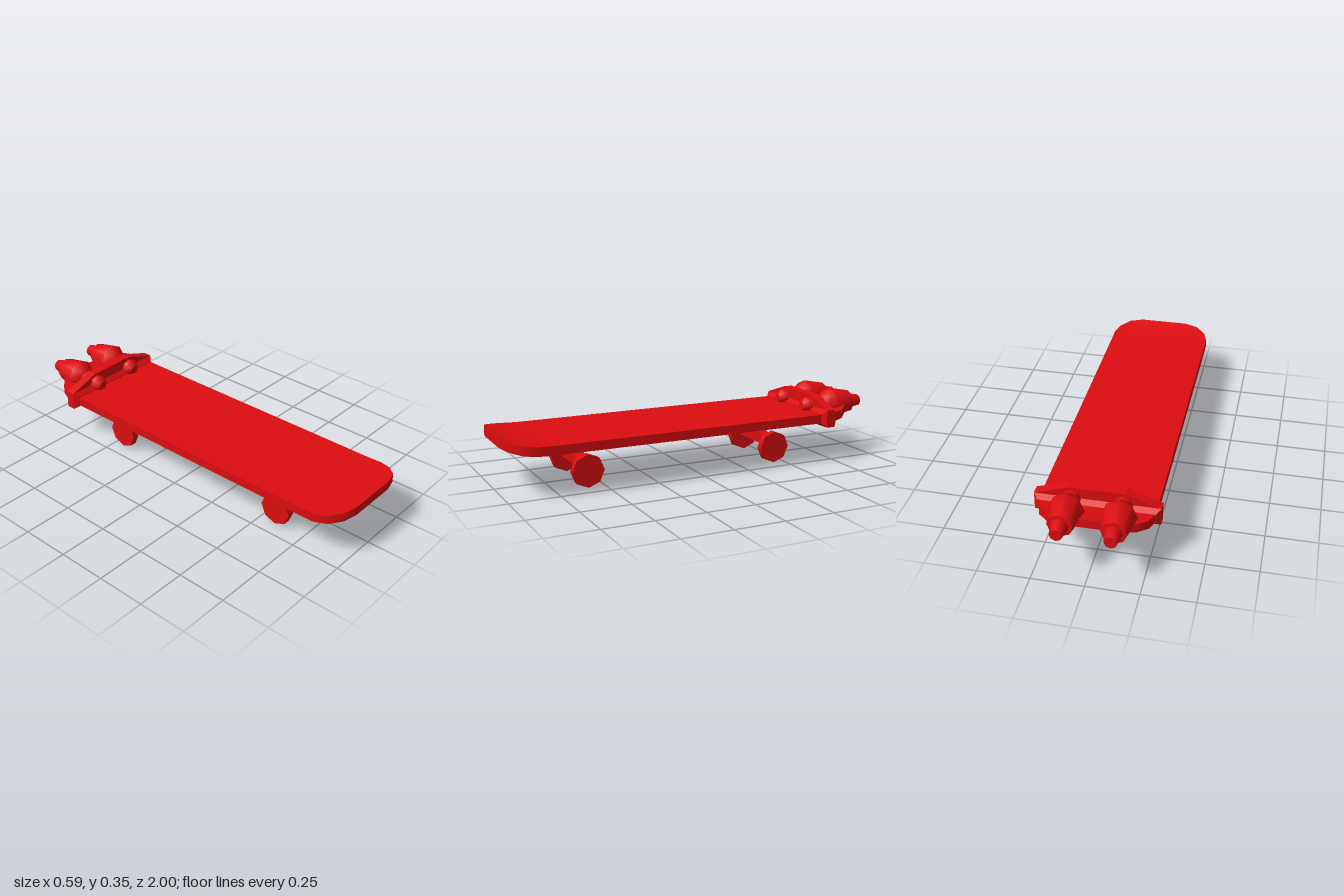
import * as THREE from 'three';
import { toCreasedNormals } from 'three/addons/utils/BufferGeometryUtils.js';

const red = new THREE.MeshStandardMaterial({ color: 0xdd0d10 });

function part(name, geometry, crease = 0.9) {
  const mesh = new THREE.Mesh(toCreasedNormals(geometry, crease), red);
  mesh.name = name;
  return mesh;
}

// Closed shape in x/y, mirrored from its right-hand half (listed bottom to top)
function mirroredShape(half) {
  const left = half.map(([x, y]) => [-x, y]).reverse();
  return new THREE.Shape([...half, ...left].map(([x, y]) => new THREE.Vector2(x, y)));
}

function extrude(half, zBack, depth, bevel = 0) {
  return new THREE.ExtrudeGeometry(mirroredShape(half), {
    depth, bevelEnabled: bevel > 0, bevelSize: bevel, bevelThickness: bevel, bevelSegments: 1,
  }).translate(0, 0, zBack);
}

// Deck: a sliced box whose rows narrow and lift at both ends
function createDeck() {
  const end = [[1.0, 0.13, 0.027], [0.98, 0.2, 0.021], [0.93, 0.25, 0.01], [0.87, 0.27, 0.003], [0.8, 0.27, 0]];
  const tail = end.map(([z, w, lift]) => [0.12 - z, w, lift]).reverse();
  const rows = [...end, ...tail]; // front to back: z, half width, lift
  const count = rows.length - 1;
  const geometry = new THREE.BoxGeometry(2, 1, 1, 1, 1, count);
  const p = geometry.attributes.position;
  for (let i = 0; i < p.count; i++) {
    const [z, w, lift] = rows[Math.round((0.5 - p.getZ(i)) * count)];
    p.setXYZ(i, p.getX(i) * w, 0.228 + p.getY(i) * 0.045 + lift, z);
  }
  return part('deck', geometry);
}

// Truck: flared hanger with an eight-sided wheel at each end
function createTruck(name, z) {
  const truck = new THREE.Group();
  truck.name = name;
  const half = [[0.145, 0.083], [0.145, 0.104], [0.113, 0.12], [0.045, 0.143], [0.09, 0.208]];
  truck.add(part('hanger', extrude(half, -0.024, 0.048), 0.3));
  for (const side of [1, -1]) {
    const wheel = new THREE.CylinderGeometry(0.082, 0.082, 0.035, 8).rotateZ(Math.PI / 2);
    wheel.translate(side * 0.159, 0.082, 0);
    truck.add(part(side > 0 ? 'leftWheel' : 'rightWheel', wheel));
  }
  truck.position.z = z;
  return truck;
}

// Rocket: eight-sided turned body pointing backwards, with a nub in front
function createRocket(name, x) {
  const profile = [
    [0, 0.64], [0.024, 0.64], [0.046, 0.665], [0.046, 0.762], [0.052, 0.765],
    [0.083, 0.815], [0.059, 0.935], [0.042, 0.937], [0.03, 1.0], [0, 1.0],
  ].map(([r, d]) => new THREE.Vector2(r, d));
  const rocket = part(name, new THREE.LatheGeometry(profile, 8).rotateX(-Math.PI / 2), 0.8);
  rocket.position.set(x, 0.272, 0);
  return rocket;
}

export function createModel() {
  const model = new THREE.Group();
  model.name = 'rocketBoard';
  model.add(createDeck(), createTruck('frontTruck', 0.585), createTruck('rearTruck', -0.444));

  // Bracket across the tail: bevelled bar with a sloped plate on top
  model.add(part('bracketBar', extrude([[0.272, 0.206], [0.272, 0.254]], -0.735, 0.047, 0.021), 0.5));
  model.add(part('bracketPlate', extrude([[0.293, 0.274], [0.13, 0.33]], -0.735, 0.047), 0.3));

  model.add(createRocket('leftRocket', 0.12), createRocket('rightRocket', -0.12));
  return model;
}
